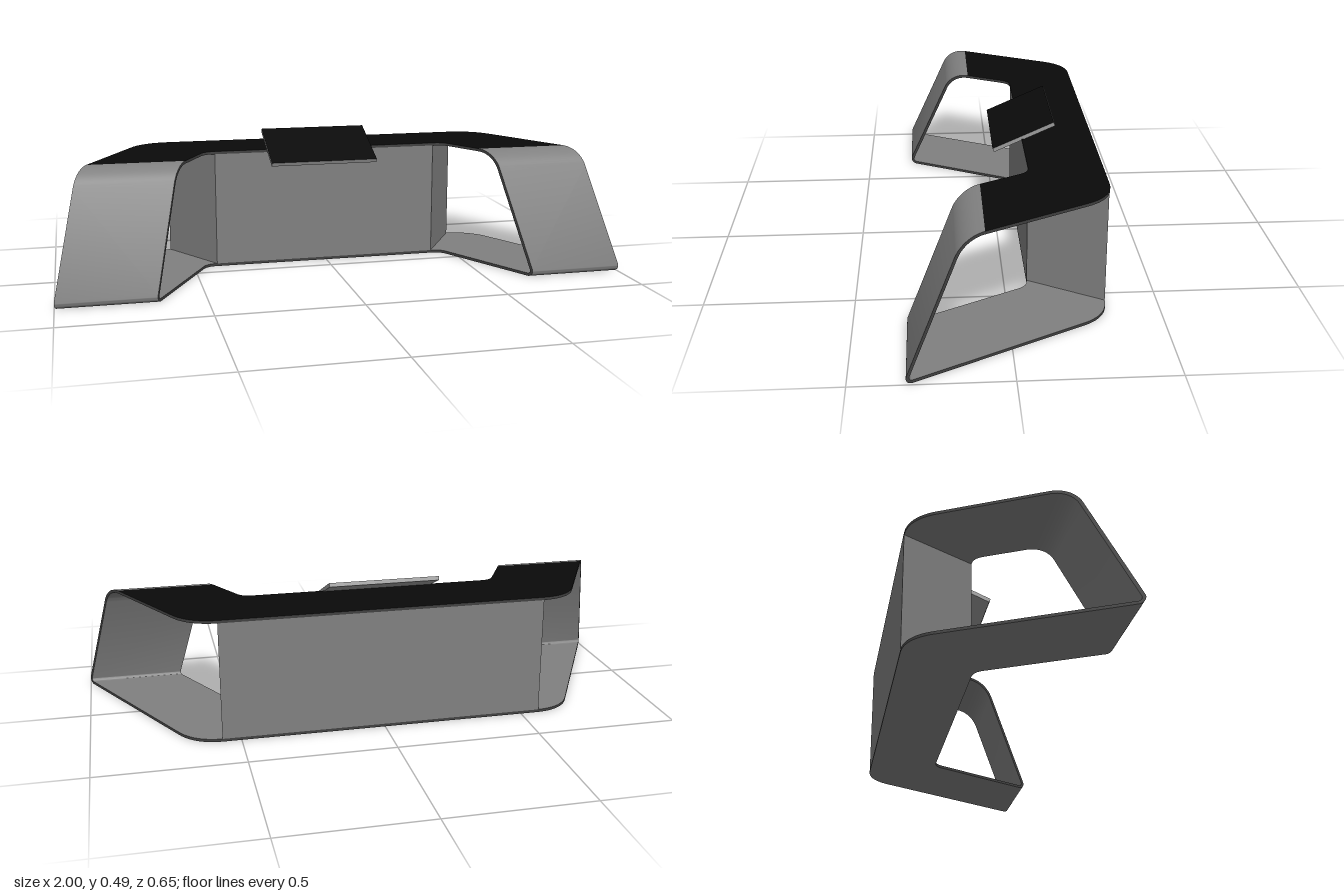
import * as THREE from 'three';
import { toCreasedNormals } from 'three/addons/utils/BufferGeometryUtils.js';

const grey = new THREE.MeshStandardMaterial({ color: 0x808080 });
const panelGrey = new THREE.MeshStandardMaterial({ color: 0x999999 });
const edgeGrey = new THREE.MeshStandardMaterial({ color: 0x404040 });
const black = new THREE.MeshStandardMaterial({ color: 0x0a0a0a });

const BACK = -0.325, INNER = -0.078, FRONT = 0.325, HEIGHT = 0.431, THICK = 0.01;
const SPLAY = 0.526; // sideways spread of the wings per unit of depth
const outerX = z => 1 - (FRONT - z) * SPLAY;
const innerX = z => 0.665 - (FRONT - z) * SPLAY;

// U-shaped plan with rounded corners, cut off at zEnd (shape y = -z)
function planShape(zEnd) {
  const step = t => t * Math.cos(Math.atan(SPLAY));
  const corner = (xAt, z, t) => ({
    flat: [xAt(z) - t, -z],
    tip: [xAt(z), -z],
    wing: [xAt(z + step(t)), -(z + step(t))],
  });
  const o = corner(outerX, BACK, 0.1), i = corner(innerX, INNER, 0.035);
  const m = ([x, y]) => [-x, y];
  const s = new THREE.Shape();
  s.moveTo(outerX(zEnd), -zEnd);
  s.lineTo(...o.wing);
  s.quadraticCurveTo(...o.tip, ...o.flat);
  s.lineTo(...m(o.flat));
  s.quadraticCurveTo(...m(o.tip), ...m(o.wing));
  s.lineTo(-outerX(zEnd), -zEnd);
  s.lineTo(-innerX(zEnd), -zEnd);
  s.lineTo(...m(i.wing));
  s.quadraticCurveTo(...m(i.tip), ...m(i.flat));
  s.lineTo(...i.flat);
  s.quadraticCurveTo(...i.tip, ...i.wing);
  s.lineTo(innerX(zEnd), -zEnd);
  s.closePath();
  return s;
}

// Horizontal slab from y0 to y1
function slab(shape, y0, y1) {
  const g = new THREE.ExtrudeGeometry(shape, { depth: y1 - y0, bevelEnabled: false, curveSegments: 14 });
  g.rotateX(-Math.PI / 2).translate(0, y0, 0);
  return toCreasedNormals(g, 0.6);
}

// Sloping front of one wing: rounded at desktop and foot; side is +1 or -1
function wingFront(side) {
  const sections = [];
  const lean = THREE.MathUtils.degToRad(23.2);
  const arc = (cz, cy, r, a0, a1, n) => {
    for (let k = 0; k <= n; k++) {
      const a = a0 + (a1 - a0) * k / n;
      sections.push([r, r - THICK].map(q => [cz + q * Math.cos(a), cy + q * Math.sin(a)]));
    }
  };
  arc(0.085, HEIGHT - 0.1, 0.1, Math.PI / 2, lean, 14);
  arc(0.305, 0.02, 0.02, lean, -Math.PI / 2, 12);

  const pos = [], index = [];
  for (const [[z0, y0], [z1, y1]] of sections) {
    pos.push(side * outerX(z0), y0, z0, side * innerX(z0), y0, z0,
      side * innerX(z1), y1, z1, side * outerX(z1), y1, z1);
  }
  const g = new THREE.BufferGeometry();
  // broad faces first, then the thin edges
  [[0, 2], [1, 3]].forEach((edges, material) => {
    const start = index.length;
    for (let k = 0; k < sections.length - 1; k++) {
      for (const j of edges) {
        const a = k * 4 + j, b = k * 4 + (j + 1) % 4, c = b + 4, d = a + 4;
        if (side > 0) index.push(a, b, c, a, c, d);
        else index.push(a, c, b, a, d, c);
      }
    }
    g.addGroup(start, index.length - start, material);
  });
  g.setAttribute('position', new THREE.Float32BufferAttribute(pos, 3));
  g.setIndex(index);
  return toCreasedNormals(g, 0.6);
}

export function createModel() {
  const model = new THREE.Group();
  model.name = 'receptionDesk';
  const add = (name, geometry, material) => {
    const mesh = new THREE.Mesh(geometry, material);
    mesh.name = name;
    model.add(mesh);
    return mesh;
  };

  // Desktop with its dark surface, and the matching floor plate
  const top = planShape(0.085);
  add('desktop', slab(top, HEIGHT - THICK, HEIGHT - 0.003), [grey, edgeGrey]);
  add('desktopSurface', slab(top, HEIGHT - 0.003, HEIGHT), [black, edgeGrey]);
  add('basePlate', slab(planShape(0.305), 0, THICK), [grey, edgeGrey]);

  // Sloping wing fronts joining desktop and base
  add('leftWingFront', wingFront(1), [grey, edgeGrey]);
  add('rightWingFront', wingFront(-1), [grey, edgeGrey]);

  // Central body, wider at the back
  const body = new THREE.Shape([[-0.565, -BACK], [-0.415, -INNER], [0.415, -INNER], [0.565, -BACK]]
    .map(([x, y]) => new THREE.Vector2(x, y)));
  add('centralBody', slab(body, THICK, HEIGHT - THICK), grey);

  // Tilted panel resting through the desktop
  const panel = add('tiltedPanel', new THREE.BoxGeometry(0.39, 0.014, 0.232),
    [panelGrey, panelGrey, black, panelGrey, panelGrey, panelGrey]);
  panel.position.set(-0.028, 0.438, -0.085);
  panel.rotation.x = THREE.MathUtils.degToRad(23.7);

  return model;
}
